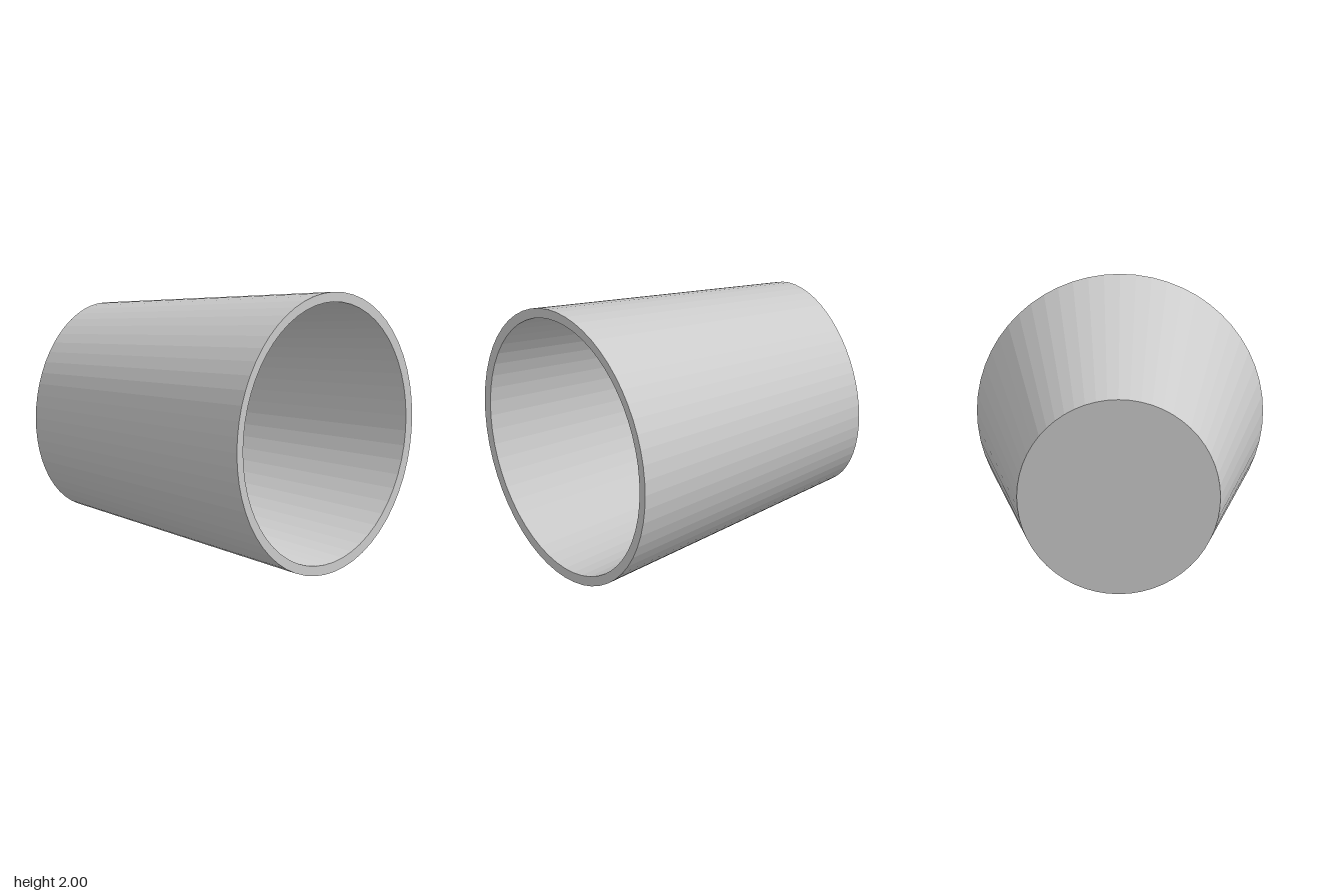
import * as THREE from 'three';

// Tapered cup lying on its side, open mouth towards +z
export function createModel() {
  const group = new THREE.Group();
  group.name = 'cup';

  // Half section as [radius, z]: closed base, outer wall, rim, inner wall, floor
  const profile = [
    [0, -1], [0.713, -1], [1, 1], [0.93, 1], [0.652, -0.93], [0, -0.93],
  ].map(([r, z]) => new THREE.Vector2(r, z));

  const geometry = new THREE.LatheGeometry(profile, 56);
  geometry.rotateX(Math.PI / 2);
  geometry.translate(0, 1, 0);

  const shell = new THREE.Mesh(
    geometry,
    new THREE.MeshStandardMaterial({ color: 0xcccccc, flatShading: true })
  );
  shell.name = 'cupShell';
  group.add(shell);
  return group;
}
